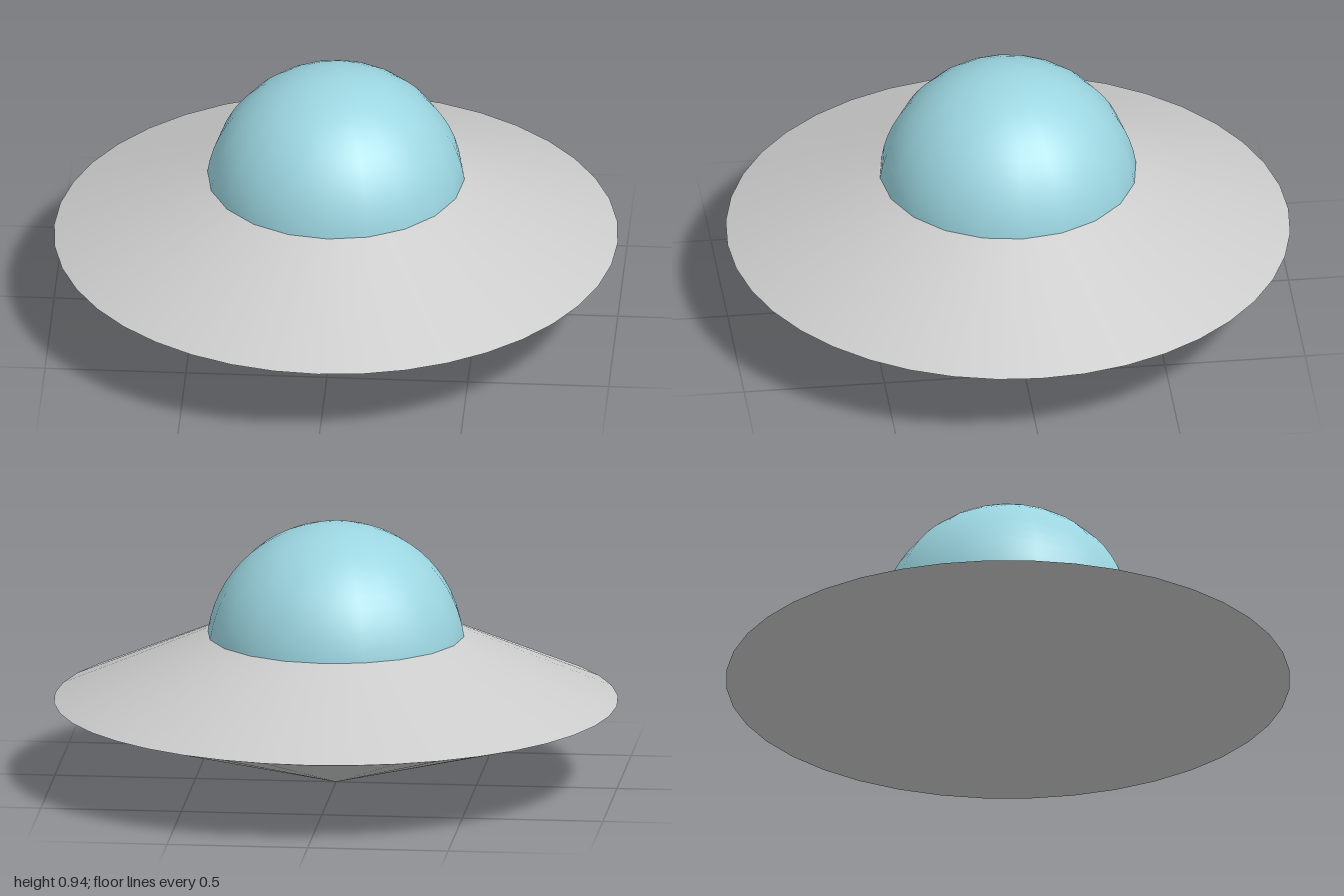
import * as THREE from 'three';

const RIM_Y = 0.3, DECK_Y = 0.54, DECK_R = 0.455;

function addPart(group, name, geometry, y, color = 0xcccccc) {
  const mesh = new THREE.Mesh(geometry, new THREE.MeshStandardMaterial({ color }));
  mesh.name = name;
  mesh.position.y = y;
  group.add(mesh);
}

export function createModel() {
  const group = new THREE.Group();
  group.name = 'flyingSaucer';

  // Upper hull: a truncated cone, closed under the dome
  const upperHeight = DECK_Y - RIM_Y;
  addPart(group, 'upperHull',
    new THREE.CylinderGeometry(DECK_R, 1, upperHeight, 40), RIM_Y + upperHeight / 2);

  // Lower hull: a shallow cone pointing down, sharing the sharp rim
  addPart(group, 'lowerHull',
    new THREE.CylinderGeometry(1, 0, RIM_Y, 40, 1, true), RIM_Y / 2);

  // Dome: the part of a ball that rises out of the deck
  const radius = 0.46, centreY = 0.48;
  const cut = Math.acos((DECK_Y - centreY) / radius);
  addPart(group, 'dome',
    new THREE.SphereGeometry(radius, 20, 14, 0, Math.PI * 2, 0, cut), centreY, 0x9bd5e0);

  return group;
}
